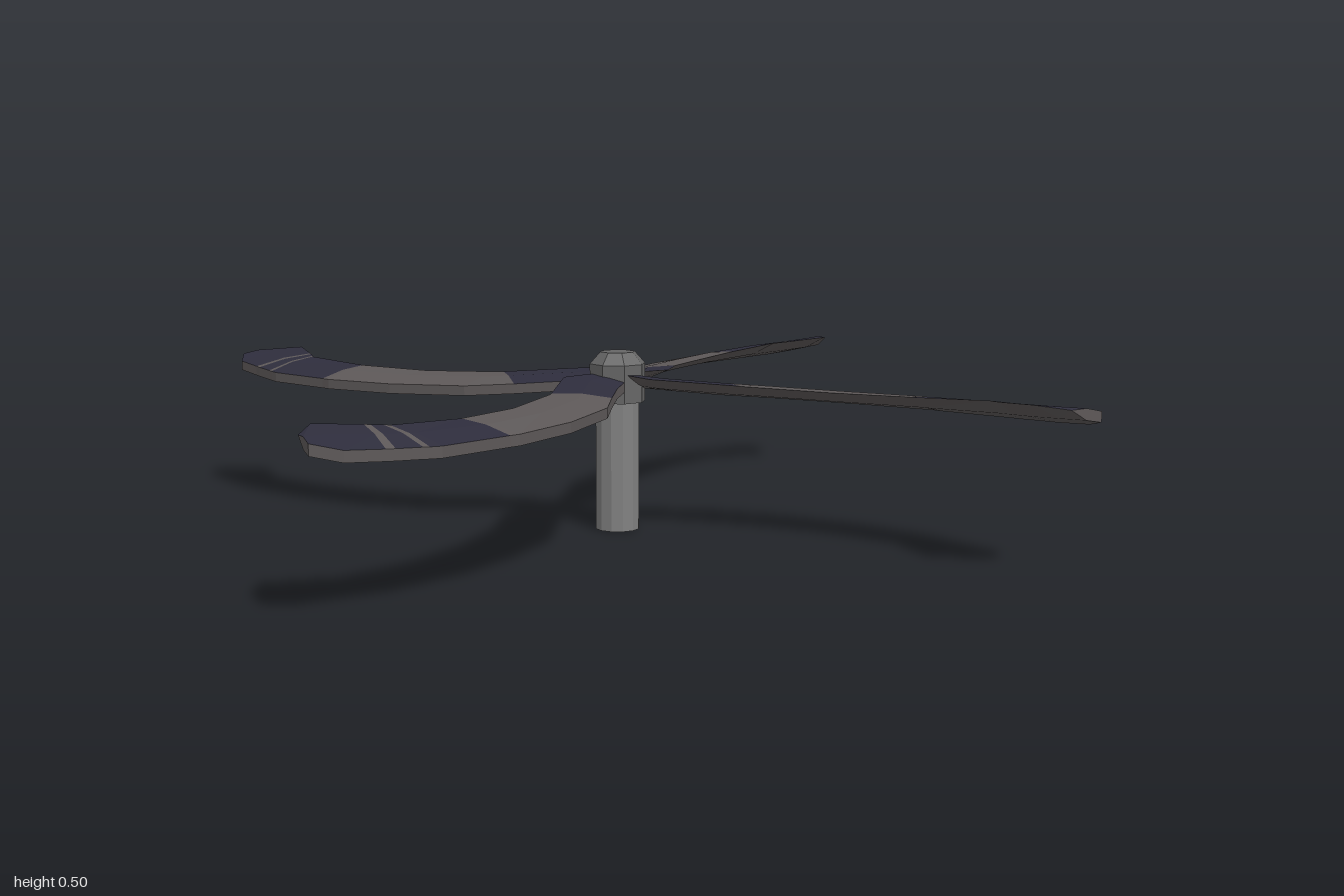
import * as THREE from 'three';

const bladeGrey = new THREE.MeshStandardMaterial({ color: 0x5d5858 });
const navyPaint = new THREE.MeshStandardMaterial({ color: 0x2e2d3c });
const shaftGrey = new THREE.MeshStandardMaterial({ color: 0x808080 });
const hubGrey = new THREE.MeshStandardMaterial({ color: 0x666666 });
for (const [m, n] of [[bladeGrey, 'bladeGrey'], [navyPaint, 'navyPaint'], [shaftGrey, 'shaftGrey'], [hubGrey, 'hubGrey']]) {
  m.name = n;
  m.flatShading = true;
}

// Blade stations from root to tip: outer x, z, bottom y; inner x, z, y; is the next span painted
const STATIONS = [
  [0.08, 0.00, 0.398, 0.01, 0.08, 0.445, 1],
  [0.16, 0.04, 0.392, 0.05, 0.165, 0.443, 1],
  [0.28, 0.085, 0.383, 0.28, 0.25, 0.428, 0],
  [0.415, 0.13, 0.376, 0.29, 0.255, 0.427, 0],
  [0.61, 0.27, 0.371, 0.485, 0.39, 0.421, 0],
  [0.77, 0.43, 0.37, 0.65, 0.545, 0.424, 0],
  [0.785, 0.455, 0.37, 0.655, 0.55, 0.424, 1],
  [0.91, 0.635, 0.371, 0.79, 0.735, 0.434, 1],
  [0.921, 0.664, 0.372, 0.789, 0.738, 0.434, 0],
  [0.927, 0.68, 0.373, 0.788, 0.753, 0.435, 1],
  [0.953, 0.745, 0.376, 0.79, 0.783, 0.437, 0],
  [0.96, 0.768, 0.377, 0.792, 0.798, 0.438, 1],
  [1.0, 0.865, 0.384, 0.81, 0.92, 0.447, 1],
  [0.99, 0.94, 0.4, 0.9, 0.955, 0.435, 1],
];

// Five-cornered section: thick outer edge, ridged top, sharp raised inner edge
function section([ox, oz, oy, ix, iz, iy]) {
  const mx = (ox + ix) / 2, mz = (oz + iz) / 2;
  return [
    [ox, oy, oz],
    [ox, oy + 0.028, oz],
    [mx, (oy + 0.028 + iy) / 2 + 0.006, mz],
    [ix, iy, iz],
    [mx, (oy + iy) / 2 - 0.01, mz],
  ];
}

function meshFrom(triangles, material, name) {
  const geo = new THREE.BufferGeometry();
  geo.setAttribute('position', new THREE.Float32BufferAttribute(triangles.flat(2), 3));
  geo.computeVertexNormals();
  const mesh = new THREE.Mesh(geo, material);
  mesh.name = name;
  return mesh;
}

function createBlade() {
  const rings = STATIONS.map(section);
  const body = [], paint = [];
  for (let i = 0; i < rings.length - 1; i++) {
    for (let j = 0; j < 5; j++) {
      const k = (j + 1) % 5;
      const onTop = j === 1 || j === 2;
      const a = rings[i], b = rings[i + 1];
      (onTop && STATIONS[i][6] ? paint : body).push([a[j], a[k], b[j]], [a[k], b[k], b[j]]);
    }
  }
  // End caps
  const root = rings[0], tip = rings[rings.length - 1];
  for (let k = 1; k < 4; k++) {
    body.push([tip[0], tip[k], tip[k + 1]], [root[0], root[k + 1], root[k]]);
  }
  const blade = new THREE.Group();
  blade.add(meshFrom(body, bladeGrey, 'bladeBody'), meshFrom(paint, navyPaint, 'bladePaint'));
  return blade;
}

export function createModel() {
  const model = new THREE.Group();
  model.name = 'propeller';

  // Drive shaft
  const shaft = new THREE.Mesh(new THREE.CylinderGeometry(0.063, 0.063, 0.38, 12), shaftGrey);
  shaft.position.y = 0.19;
  shaft.name = 'shaft';
  model.add(shaft);

  // Hub with bevelled nut on top
  const profile = [[0, 0.365], [0.08, 0.365], [0.08, 0.472], [0.05, 0.505], [0, 0.505]];
  const hub = new THREE.Mesh(
    new THREE.LatheGeometry(profile.map(([r, y]) => new THREE.Vector2(r, y)), 8), hubGrey);
  hub.name = 'hub';
  model.add(hub);

  // Four swept blades
  for (let i = 0; i < 4; i++) {
    const blade = createBlade();
    blade.name = 'blade' + (i + 1);
    blade.rotation.y = i * Math.PI / 2;
    model.add(blade);
  }
  return model;
}
